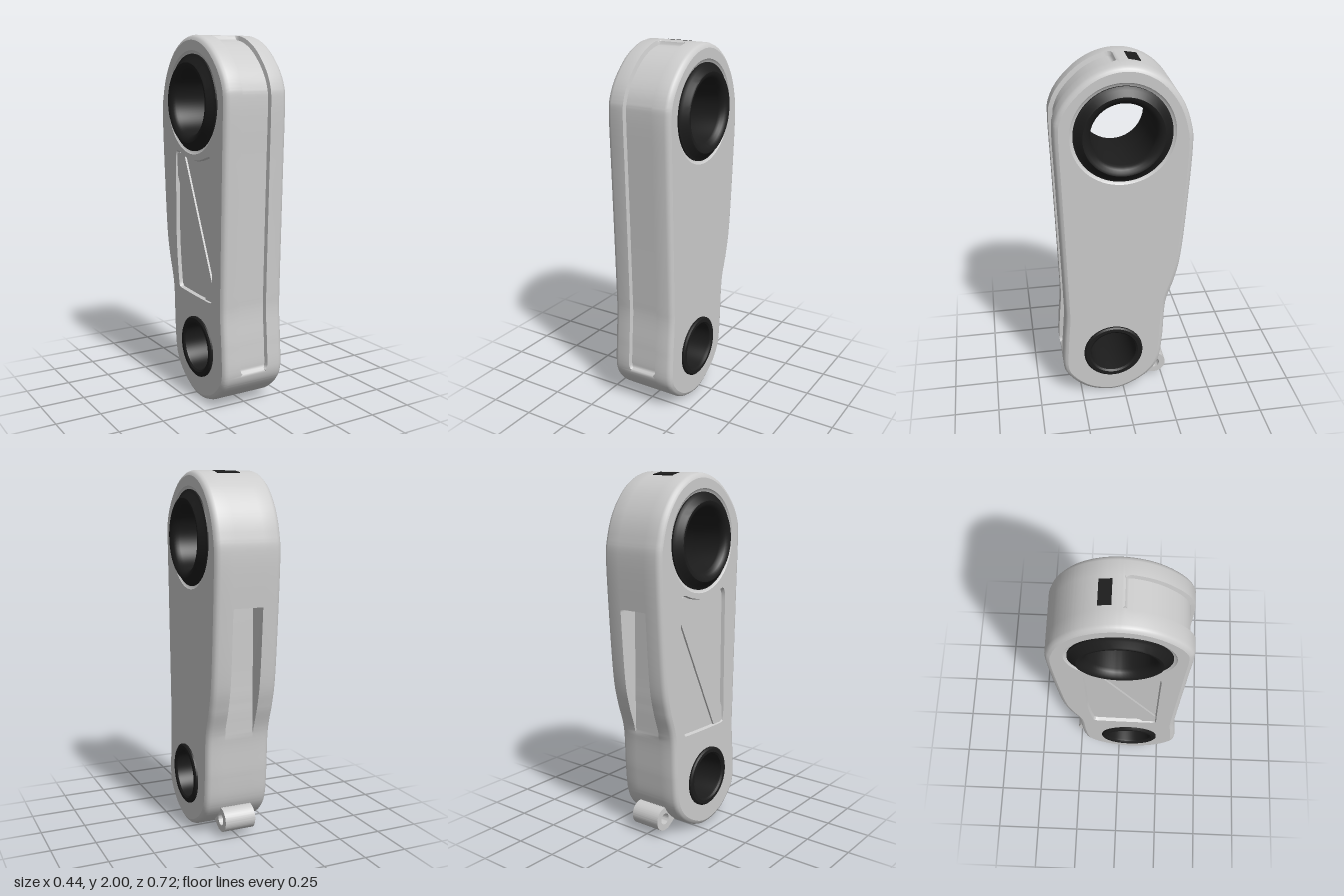
import * as THREE from 'three';
import { toCreasedNormals } from 'three/addons/utils/BufferGeometryUtils.js';

const HALF = 0.187;                       // half thickness of the body
const UPPER = { z: 0.008, y: 1.645 }, LOWER = { z: 0.064, y: 0.3 };

const bodyMat = new THREE.MeshStandardMaterial({ color: 0xcccccc });
bodyMat.name = 'light grey';
const blackMat = new THREE.MeshStandardMaterial({ color: 0x1c1c1c });
blackMat.name = 'black';

const smooth = (t) => THREE.MathUtils.smoothstep(t, 0, 1);
const spline = (pts, n, tension = 0.5) => new THREE.CatmullRomCurve3(
  pts.map(([z, y]) => new THREE.Vector3(z, y, 0)), true, 'catmullrom', tension).getSpacedPoints(n).slice(0, n);

// Side outline as (z, y), running top, front, bottom, back
const outline = spline([
  [0, 2], [0.11, 1.98], [0.21, 1.925], [0.3, 1.835], [0.35, 1.745], [0.363, 1.65], [0.355, 1.35], [0.345, 1],
  [0.336, 0.65], [0.335, 0.53], [0.348, 0.36], [0.352, 0.2], [0.31, 0.115], [0.23, 0.045], [0.15, 0.012],
  [0.07, 0.001], [-0.01, 0.016], [-0.1, 0.063], [-0.17, 0.125], [-0.213, 0.21], [-0.23, 0.36], [-0.242, 0.59],
  [-0.288, 0.75], [-0.319, 0.9], [-0.343, 1.2], [-0.361, 1.55], [-0.347, 1.68], [-0.3, 1.805], [-0.215, 1.915],
  [-0.11, 1.98],
], 560);
const inward = outline.map((p, i) => {
  const n = outline.length, a = outline[(i + n - 1) % n], b = outline[(i + 1) % n];
  return new THREE.Vector2(b.y - a.y, a.x - b.x).normalize();
});
const insetPoint = (i, d) => new THREE.Vector2(outline[i].x + inward[i].x * d, outline[i].y + inward[i].y * d);

// Depth and half width of the front channel and the back slot
function channel(p) {
  const end = Math.min(p.x - 0.02, p.y - 0.2);
  if (end > 0) {
    const c = 1 - Math.min(1, end / 0.035);
    return { depth: 0.023 * smooth(end / 0.02), w: 0.086 - 0.03 * (1 - Math.sqrt(1 - c * c)) };
  }
  if (p.x < 0 && p.y > 0.55 && p.y < 1.3) return { depth: Math.max(0, -p.x - 0.24), w: 0.085 };
  return { depth: 0, w: 0.085 };
}

// Rim skin: outline lofted across the thickness
function rimGeometry() {
  const half = [
    () => [HALF, 0.026], () => [0.181, 0.013], () => [0.172, 0.005], () => [0.158, 0],
    (c) => [c.w, 0], (c) => [c.w - 0.005, c.depth],
  ];
  const rows = [...half.map((f) => [f, -1]), ...[...half].reverse().map((f) => [f, 1])];
  const pos = [], idx = [], n = outline.length;
  rows.forEach(([f, s], j) => outline.forEach((p, i) => {
    const [x, d] = f(channel(p)), q = insetPoint(i, d);
    pos.push(s * x, q.y, q.x);
    if (j === rows.length - 1) return;
    const a = j * n + i, b = j * n + (i + 1) % n;
    idx.push(a, b, a + n, b, b + n, a + n);
  }));
  const g = new THREE.BufferGeometry();
  g.setAttribute('position', new THREE.Float32BufferAttribute(pos, 3));
  g.setIndex(idx);
  return toCreasedNormals(g, 0.6);
}

// Flat (z, y) shape facing side s (+1 left, -1 right)
function faceGeometry(points, holes, s, x) {
  const flip = (p) => new THREE.Vector2(-s * p.x, p.y);
  const shape = new THREE.Shape(points.map(flip));
  shape.holes = holes.map((h) => new THREE.Path(h.map(flip)));
  return new THREE.ShapeGeometry(shape).rotateY(s * Math.PI / 2).translate(s * x, 0, 0);
}
const circle = (c, r) => Array.from({ length: 64 }, (_, i) => {
  const a = i / 64 * Math.PI * 2;
  return new THREE.Vector2(c.z + r * Math.cos(a), c.y + r * Math.sin(a));
});

// Turned part around the x axis; the half profile [r, x] is mirrored
function turned(c, half, mirror = true) {
  const pts = mirror ? [...[...half].reverse().map(([r, x]) => [r, -x]), ...half] : half;
  // run outside upward, then inside back down
  const g = new THREE.LatheGeometry(pts.map(([r, x]) => new THREE.Vector2(r, x)), 64);
  return toCreasedNormals(g.rotateZ(-Math.PI / 2).translate(0, c.y, c.z), 0.6);
}

export function createModel() {
  const model = new THREE.Group();
  model.name = 'linkArm';
  const add = (name, geo, mat = bodyMat) => {
    const m = new THREE.Mesh(geo, mat);
    m.name = name;
    model.add(m);
    return m;
  };

  // Body: rim and two side faces
  add('bodyRim', rimGeometry());
  const face = outline.map((_, i) => insetPoint(i, 0.026));
  const pocket = spline([
    [0.222, 1.2], [0.222, 1.33], [0.205, 1.372], [0.17, 1.367], [0.1, 1.347], [0.01, 1.338], [-0.08, 1.352],
    [-0.14, 1.374], [-0.17, 1.372], [-0.18, 1.34], [-0.18, 1.2], [-0.18, 0.9], [-0.168, 0.74], [-0.152, 0.62],
    [-0.14, 0.596], [-0.1, 0.592], [0.05, 0.586], [0.19, 0.584], [0.214, 0.59], [0.222, 0.615], [0.222, 0.8],
  ], 160, 0.4);
  const holes = [circle(UPPER, 0.275), circle(LOWER, 0.165)];
  add('leftFace', faceGeometry(face, holes, 1, HALF));
  add('rightFace', faceGeometry(face, [...holes, pocket], -1, HALF));

  // Recessed pocket on the right face with a diagonal rib
  const depth = 0.02, mid = new THREE.Vector2(0.02, 0.97);
  const floor = pocket.map((p) => new THREE.Vector2(mid.x + (p.x - mid.x) * 0.97, mid.y + (p.y - mid.y) * 0.985));
  add('pocketFloor', faceGeometry(floor, [], -1, HALF - depth));
  const wallPos = [], wallIdx = [], n = pocket.length;
  pocket.forEach((p, i) => {
    wallPos.push(-HALF, p.y, p.x, -HALF + depth, floor[i].y, floor[i].x);
    const a = 2 * i, b = 2 * ((i + 1) % n);
    wallIdx.push(a, b, a + 1, b, b + 1, a + 1);
  });
  // order the wall so that it faces into the pocket
  if (THREE.ShapeUtils.isClockWise(pocket)) wallIdx.reverse();
  wallIdx.reverse();
  const wall = new THREE.BufferGeometry();
  wall.setAttribute('position', new THREE.Float32BufferAttribute(wallPos, 3));
  wall.setIndex(wallIdx);
  const wallMat = bodyMat;
  wallMat.side = THREE.DoubleSide;
  add('pocketWall', toCreasedNormals(wall, 0.6), wallMat);
  const rib = new THREE.Shape([[0.217, 0.675], [0.217, 0.588], [0.14, 0.588], [-0.176, 1.24], [-0.176, 1.355],
    [-0.15, 1.368], [-0.09, 1.348]].map(([z, y]) => new THREE.Vector2(z, y)));
  add('pocketRib', new THREE.ExtrudeGeometry(rib, { depth: 0.011, bevelEnabled: false })
    .rotateY(-Math.PI / 2).translate(-HALF + depth, 0, 0));

  // Dished seats around the upper bushing
  for (const s of [1, -1]) {
    add('bushingSeat', turned(UPPER, [[0.275, s * HALF], [0.266, s * 0.179], [0.25, s * 0.175]], false));
  }

  // Bushings through the body
  add('upperBushing', turned(UPPER, [
    [0.257, 0.17], [0.257, 0.185], [0.24, 0.193], [0.219, 0.216], [0.212, 0.22], [0.198, 0.218], [0.182, 0.207],
    [0.172, 0.192], [0.168, 0.175], [0.168, 0],
  ], false), blackMat);
  add('upperBushingMirror', turned(UPPER, [
    [0.168, 0], [0.168, -0.175], [0.172, -0.192], [0.182, -0.207], [0.198, -0.218], [0.212, -0.22], [0.219, -0.216],
    [0.24, -0.193], [0.257, -0.185], [0.257, -0.17],
  ], false), blackMat);
  for (const s of [1, -1]) {
    const profile = [[0.17, s * 0.18], [0.17, s * 0.196], [0.161, s * 0.203], [0.142, s * 0.203],
      [0.132, s * 0.195], [0.13, s * 0.185], [0.13, 0]];
    add('lowerBushing', turned(LOWER, s > 0 ? profile : profile.reverse(), false), blackMat);
  }

  // Eyelet at the lower back
  const eye = new THREE.Shape();
  eye.moveTo(-0.08, 0.17);
  eye.lineTo(-0.2, 0.17);
  eye.absarc(-0.2, 0.1, 0.068, Math.PI / 2, Math.PI * 1.5, false);
  eye.lineTo(-0.17, 0.036);
  eye.lineTo(-0.1, 0.08);
  const hole = new THREE.Path();
  hole.absarc(-0.2, 0.1, 0.032, 0, Math.PI * 2, true);
  eye.holes.push(hole);
  const eyeGeo = new THREE.ExtrudeGeometry(eye, { depth: 0.18, bevelEnabled: false, curveSegments: 24 });
  add('eyelet', toCreasedNormals(eyeGeo.rotateY(-Math.PI / 2).translate(0.09, 0, 0), 0.6));

  // Dark window on the top
  const win = add('topWindow', new THREE.BoxGeometry(0.13, 0.008, 0.064), blackMat);
  win.position.set(0, 1.9905, -0.067);
  win.rotation.x = -0.17;
  return model;
}
